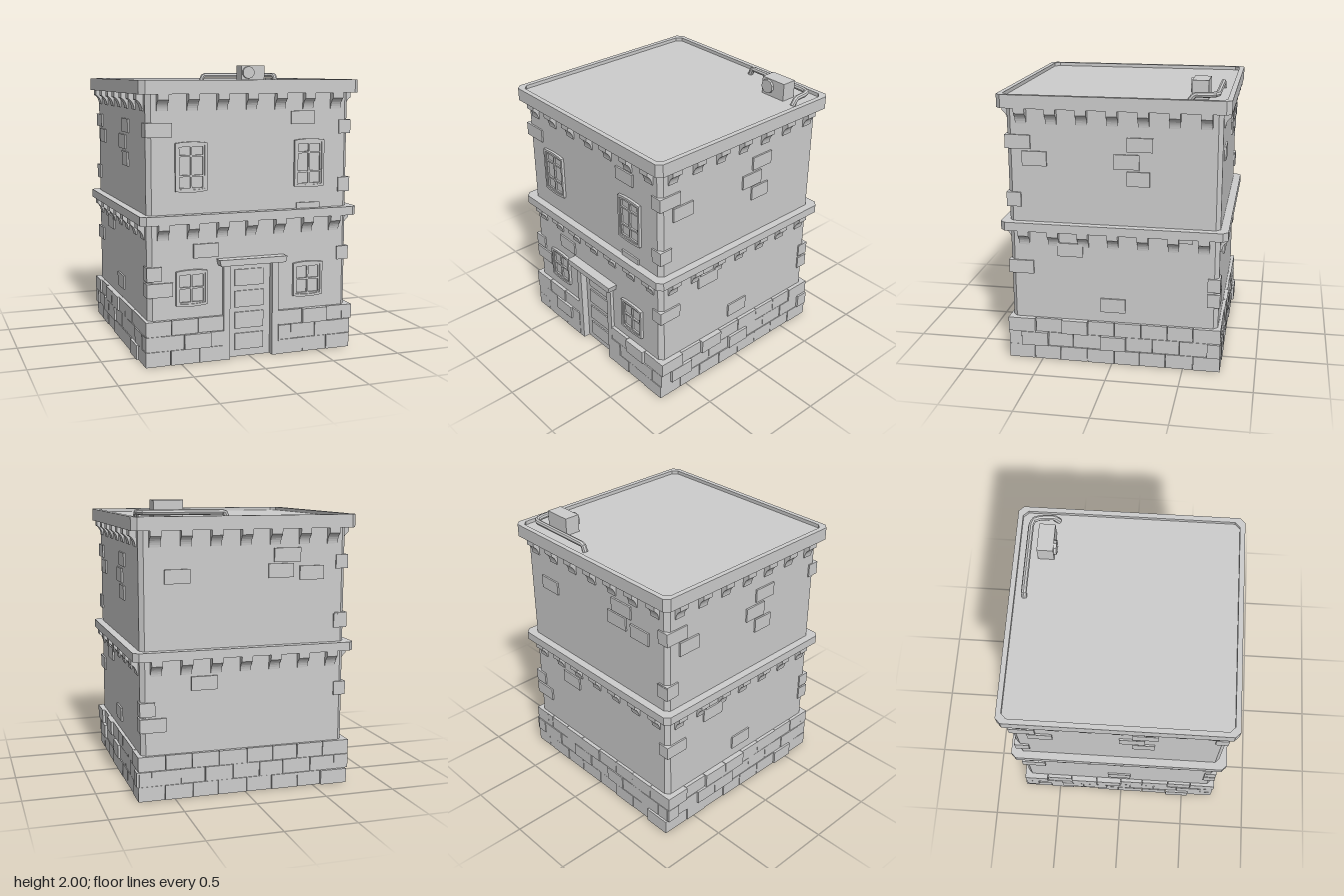
import * as THREE from 'three';

const stone = new THREE.MeshStandardMaterial({ color: 0xcccccc, flatShading: true });
stone.name = 'stone grey';

const WALL = 0.725, THICK = 0.03;

function add(parent, name, geometry, x = 0, y = 0, z = 0) {
  const mesh = new THREE.Mesh(geometry, stone);
  mesh.name = name;
  mesh.position.set(x, y, z);
  parent.add(mesh);
  return mesh;
}

function extrude(shape, depth) {
  return new THREE.ExtrudeGeometry(shape, { depth, bevelEnabled: false, curveSegments: 6 });
}

function polygon(points) {
  return points.map(([x, y]) => new THREE.Vector2(x, y));
}

// Square with cut corners
function octagon(h, c) {
  return polygon([[h, c - h], [h, h - c], [h - c, h], [c - h, h], [-h, h - c], [-h, c - h], [c - h, -h], [h - c, -h]]);
}

// Flat slab or ring lying in the horizontal plane
function slab(outer, inner, height) {
  const shape = new THREE.Shape(outer);
  if (inner) shape.holes.push(new THREE.Path(inner));
  return extrude(shape, height).rotateX(-Math.PI / 2);
}

// Block on a wall, given by its left and right edge, height range and front and back depth
function block(side, name, u0, u1, y0, y1, front, back) {
  add(side, name, new THREE.BoxGeometry(u1 - u0, y1 - y0, front - back),
    (u0 + u1) / 2, (y0 + y1) / 2, (front + back) / 2);
}

function seeded(seed) {
  return () => {
    seed = (seed * 16807) % 2147483647;
    return seed / 2147483647;
  };
}

// Scroll bracket under a cornice
function corbelGeometry() {
  const s = new THREE.Shape();
  s.moveTo(-0.01, 0);
  s.lineTo(-0.01, -0.11);
  s.lineTo(0.008, -0.11);
  s.quadraticCurveTo(0.01, -0.06, 0.048, -0.038);
  s.lineTo(0.048, 0);
  return extrude(s, 0.075).rotateY(-Math.PI / 2).translate(0.0375, 0, 0);
}

// Outline with gently bowed top and bottom
function bowed(w, y0, y1, bow, Type) {
  const s = new Type();
  s.moveTo(-w, y0 + bow);
  s.quadraticCurveTo(0, y0 - bow, w, y0 + bow);
  s.lineTo(w, y1 - bow);
  s.quadraticCurveTo(0, y1 + bow, -w, y1 - bow);
  s.closePath();
  return s;
}

function addWindow(side, x, y0, y1, rows) {
  const win = new THREE.Group();
  win.name = 'window';
  win.position.set(x, 0, WALL);
  side.add(win);
  const frame = bowed(0.11, y0, y1, 0.009, THREE.Shape);
  frame.holes.push(bowed(0.093, y0 + 0.017, y1 - 0.017, 0.007, THREE.Path));
  add(win, 'windowFrame', extrude(frame, 0.08), 0, 0, -0.06);
  const sash = bowed(0.094, y0 + 0.016, y1 - 0.016, 0.007, THREE.Shape);
  for (const [a, b] of rows) {
    for (const [l, r] of [[-0.082, -0.006], [0.006, 0.082]]) {
      sash.holes.push(new THREE.Path(polygon([[l, a], [r, a], [r, b], [l, b]])));
    }
  }
  add(win, 'windowSash', extrude(sash, 0.012));
}

// Door with panels, jambs and lintel
function addDoor(side) {
  const door = new THREE.Group();
  door.name = 'door';
  side.add(door);
  block(door, 'doorLeaf', -0.155, 0.155, 0, 0.665, 0.70, 0.66);
  for (let i = 0; i < 4; i++) {
    block(door, 'doorPanel', -0.105, 0.105, 0.05 + i * 0.15, 0.165 + i * 0.15, 0.709, 0.70);
  }
  for (const s of [-1, 1]) {
    block(door, 'doorJamb', s * 0.178 - 0.023, s * 0.178 + 0.023, 0, 0.665, 0.75, 0.66);
  }
  const lintel = new THREE.Shape(polygon([[-0.235, 0.662], [0.235, 0.662], [0.245, 0.705], [-0.245, 0.705]]));
  add(door, 'doorLintel', extrude(lintel, 0.095), 0, 0, 0.70);
}

// Three courses of bricks around the foot of a wall
function addPlinth(side, random, hasDoor) {
  const pieces = hasDoor ? [[-0.75, -0.2], [0.2, 0.75]] : [[-0.75, 0.75]];
  for (let row = 0; row < 3; row++) {
    for (const [start, end] of pieces) {
      const count = Math.round((end - start) / 0.185);
      const step = (end - start) / count;
      const cuts = [start];
      for (let i = 1; i <= count; i++) {
        const cut = start + (i - (row % 2 ? 0.5 : 0)) * step;
        cuts.push(cut + (i < count ? (random() - 0.5) * 0.02 : 0));
      }
      if (row % 2) cuts.push(end);
      else cuts[count] = end;
      for (let i = 0; i + 1 < cuts.length; i++) {
        const front = random() < 0.2 ? 0.765 : 0.745 + random() * 0.009;
        const back = (i + row) % 2 ? 0.62 : 0.69;
        block(side, 'plinthBrick', cuts[i] + 0.002, cuts[i + 1] - 0.002,
          0.104 * row + 0.002, 0.104 * row + 0.103, front, back);
      }
    }
  }
}

export function createModel() {
  const model = new THREE.Group();
  model.name = 'building';
  const house = new THREE.Group();
  house.name = 'house';
  house.position.z = -0.01;
  model.add(house);
  const random = seeded(7);
  const corbel = corbelGeometry();

  // Loose bricks: left edge, right edge, bottom, top as seen facing each wall
  const frontBricks = [[-0.735, -0.555, 1.53, 1.625], [0.29, 0.465, 1.6, 1.69], [0.335, 0.51, 0.99, 1.06],
    [-0.41, -0.235, 0.72, 0.815], [-0.735, -0.63, 0.58, 0.675], [-0.735, -0.555, 0.47, 0.565]];
  const sideBricks = [[-0.735, -0.56, 1.53, 1.625], [-0.62, -0.45, 1.415, 1.515], [0.005, 0.18, 1.415, 1.515],
    [0.095, 0.27, 1.535, 1.63], [0.095, 0.25, 1.3, 1.4], [-0.735, -0.635, 1.125, 1.225],
    [-0.39, -0.21, 0.78, 0.875], [-0.735, -0.56, 0.64, 0.735], [-0.09, 0.085, 0.385, 0.485], [0.43, 0.54, 0.92, 0.96]];
  const backBricks = [[-0.56, -0.385, 1.46, 1.555], [0.2, 0.39, 1.585, 1.68], [0.16, 0.34, 1.48, 1.575],
    [0.385, 0.56, 1.46, 1.555], [-0.38, -0.2, 0.74, 0.835], [-0.735, -0.555, 0.47, 0.565],
    [-0.735, -0.63, 0.58, 0.675], [0.64, 0.735, 1.12, 1.215]];
  const walls = [['frontWall', 0, frontBricks], ['leftWall', Math.PI / 2, sideBricks],
    ['backWall', Math.PI, backBricks], ['rightWall', -Math.PI / 2, sideBricks]];

  for (const [name, turn, bricks] of walls) {
    const side = new THREE.Group();
    side.name = name;
    side.rotation.y = turn;
    house.add(side);
    const isFront = turn === 0;
    const w = WALL - THICK;

    // Wall panel, with a doorway at the front
    const doorway = isFront ? [[-0.16, 0], [-0.16, 0.665], [0.16, 0.665], [0.16, 0]] : [];
    const panel = new THREE.Shape(polygon([[w, 0], [w, 1.85], [-w, 1.85], [-w, 0], ...doorway]));
    add(side, 'wallPanel', extrude(panel, THICK), 0, 0, w);

    // Cut corner
    const corner = add(side, 'wallCorner', new THREE.BoxGeometry(THICK * Math.SQRT2, 1.85, 0.02), 0, 0.925, 0);
    corner.rotation.y = Math.PI / 4;
    const c = WALL - THICK / 2 - 0.01 / Math.SQRT2;
    corner.position.set(c, 0.925, c);

    addPlinth(side, random, isFront);
    for (const [u0, u1, y0, y1] of bricks) block(side, 'wallBrick', u0, u1, y0, y1, WALL + 0.012, 0.65);
    for (const top of [0.962, 1.812]) {
      for (let i = -3; i <= 3; i++) add(side, 'corbel', corbel, i * 0.207, top, WALL);
    }
    if (isFront) {
      addDoor(side);
      for (const x of [-0.425, 0.425]) {
        addWindow(side, x, 1.165, 1.5, [[1.195, 1.268], [1.28, 1.4], [1.412, 1.465]]);
        addWindow(side, x, 0.395, 0.645, [[0.425, 0.515], [0.527, 0.61]]);
      }
    }
  }

  // Cornices and sunken roof
  add(house, 'lowerCornice', slab(octagon(0.78, 0.035), octagon(0.7, 0.03), 0.06), 0, 0.96, 0);
  add(house, 'upperCornice', slab(octagon(0.78, 0.035), octagon(0.745, 0.035), 0.09), 0, 1.81, 0);
  add(house, 'roof', slab(octagon(0.746, 0.035), null, 0.065), 0, 1.81, 0);

  // Rooftop cooling unit with a round fan cover
  add(model, 'coolingUnit', new THREE.BoxGeometry(0.2, 0.125, 0.11), 0.5, 1.9375, -0.57);
  add(model, 'fanCover', new THREE.CylinderGeometry(0.05, 0.05, 0.02, 10).rotateX(Math.PI / 2), 0.458, 1.945, -0.507);

  // Rooftop pipe, dipping into the roof at both ends
  const path = new THREE.CurvePath();
  const p = [[0.115, 1.875, -0.69], [0.135, 1.922, -0.69], [0.63, 1.922, -0.69], [0.67, 1.922, -0.675],
    [0.688, 1.922, -0.63], [0.695, 1.922, -0.54], [0.695, 1.875, -0.505]].map(a => new THREE.Vector3(...a));
  for (let i = 1; i < p.length; i++) path.add(new THREE.LineCurve3(p[i - 1], p[i]));
  add(model, 'roofPipe', new THREE.TubeGeometry(path, 48, 0.019, 8, false));

  return model;
}
